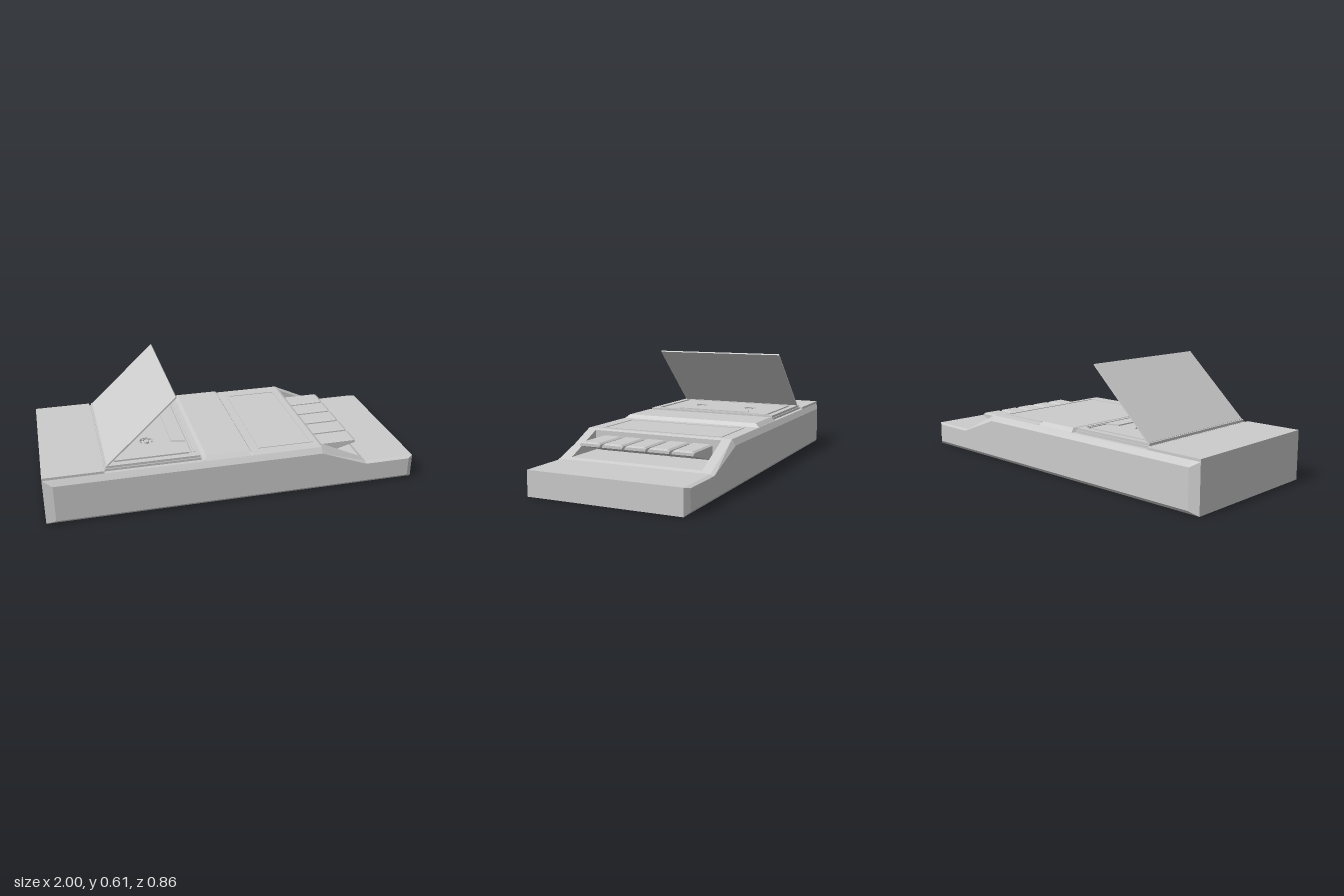
import * as THREE from 'three';

const material = new THREE.MeshStandardMaterial({ color: 0xcccccc, flatShading: true });

// Joins mirrored cross-sections [x, [[z, y], ...from bottom to top]] along x
function loft(sections) {
  const rings = sections.map(([x, half]) => [
    ...half.map(([z, y]) => new THREE.Vector3(x, y, z)),
    ...half.slice().reverse().map(([z, y]) => new THREE.Vector3(x, y, -z)),
  ]);
  const pos = [];
  const tri = (a, b, c) => {
    if (new THREE.Triangle(a, b, c).getArea() > 1e-8) {
      for (const p of [a, b, c]) pos.push(p.x, p.y, p.z);
    }
  };
  const n = rings[0].length;
  for (let i = 0; i < rings.length - 1; i++) {
    const p = rings[i], q = rings[i + 1];
    for (let j = 0; j < n; j++) {
      const k = (j + 1) % n;
      tri(p[j], q[j], q[k]);
      tri(p[j], q[k], p[k]);
    }
  }
  const first = rings[0], last = rings[rings.length - 1];
  for (let j = 1; j < n - 1; j++) {
    tri(first[0], first[j], first[j + 1]);
    tri(last[0], last[j + 1], last[j]);
  }
  const geo = new THREE.BufferGeometry();
  geo.setAttribute('position', new THREE.Float32BufferAttribute(pos, 3));
  geo.computeVertexNormals();
  return geo;
}

function rect(target, x0, x1, halfZ) {
  target.moveTo(x0, -halfZ);
  target.lineTo(x1, -halfZ);
  target.lineTo(x1, halfZ);
  target.lineTo(x0, halfZ);
  target.closePath();
  return target;
}

// Horizontal plate from an x/z outline
function plate(shape, y0, y1) {
  const geo = new THREE.ExtrudeGeometry(shape, { depth: y1 - y0, bevelEnabled: false, curveSegments: 16 });
  return geo.rotateX(-Math.PI / 2).translate(0, y0, 0);
}

export function createModel() {
  const group = new THREE.Group();
  const add = (name, geo, parent = group) => {
    const mesh = new THREE.Mesh(geo, material);
    mesh.name = name;
    parent.add(mesh);
    return mesh;
  };
  const box = (name, x0, x1, y0, y1, halfZ, parent) =>
    add(name, new THREE.BoxGeometry(x1 - x0, y1 - y0, 2 * halfZ)
      .translate((x0 + x1) / 2, (y0 + y1) / 2, 0), parent);

  // Body with chamfered edges, sloping keyboard end and a sunken key well
  const section = (x, top, shoulder, floor = top) =>
    [x, [[0.41, 0], [0.43, 0.02], [0.43, shoulder], [0.41, top], [0.36, top], [0.36, floor]]];
  const end = (x, top) =>
    [x, [[0.41, 0], [0.41, 0], [0.41, top], [0.41, top], [0.36, top], [0.36, top]]];
  add('body', loft([
    end(-1, 0.25),
    section(-0.95, 0.25, 0.22),
    section(0.46, 0.25, 0.22),
    section(0.475, 0.243, 0.2145),
    section(0.475, 0.243, 0.2145, 0.139),
    section(0.70, 0.139, 0.13, 0.139),
    section(0.72, 0.13, 0.123),
    section(0.97, 0.13, 0.123),
    end(1, 0.13),
  ]));

  // Raised areas of the top
  box('rearCover', -1, -0.692, 0.245, 0.263, 0.41);
  add('middleStrip', loft([
    [-0.18, [[0.41, 0.248], [0.41, 0.25]]],
    [-0.165, [[0.41, 0.248], [0.385, 0.27]]],
    [0.07, [[0.41, 0.248], [0.385, 0.27]]],
    [0.082, [[0.41, 0.248], [0.41, 0.25]]],
  ]));
  add('topPanelFrame', plate((() => {
    const s = rect(new THREE.Shape(), 0.13, 0.435, 0.345);
    s.holes.push(rect(new THREE.Path(), 0.145, 0.42, 0.33));
    return s;
  })(), 0.249, 0.253));

  // Five wedge-shaped keys
  const keys = new THREE.Group();
  keys.name = 'keys';
  group.add(keys);
  const keySection = (x, bottom, top) =>
    [x, [[0.057, bottom], [0.057, top - 0.007], [0.046, top]]];
  const keyGeo = loft([
    keySection(0.477, 0.14, 0.219),
    keySection(0.682, 0.197, 0.22),
    keySection(0.695, 0.2, 0.214),
  ]);
  for (let i = -2; i <= 2; i++) add('key', keyGeo, keys).position.z = i * 0.128;

  // Tape deck
  const deck = new THREE.Group();
  deck.name = 'tapeDeck';
  group.add(deck);
  box('deckBase', -0.688, -0.19, 0.245, 0.262, 0.39, deck);
  const frame = rect(new THREE.Shape(), -0.682, -0.195, 0.385);
  frame.holes.push(rect(new THREE.Path(), -0.65, -0.232, 0.352));
  add('deckFrame', plate(frame, 0.26, 0.275), deck);
  box('latch', -0.221, -0.209, 0.27, 0.278, 0.34, deck);

  // Cassette with two toothed hubs
  const cassette = rect(new THREE.Shape(), -0.635, -0.242, 0.335);
  for (const z of [-0.16, 0.16]) {
    cassette.holes.push(new THREE.Path().absarc(-0.44, z, 0.036, 0, Math.PI * 2, true));
    const hub = new THREE.Group();
    hub.name = 'hub';
    hub.position.set(-0.44, 0.267, z);
    deck.add(hub);
    add('spindle', new THREE.CylinderGeometry(0.014, 0.014, 0.012, 16), hub);
    for (let i = 0; i < 6; i++) {
      const tooth = new THREE.BoxGeometry(0.012, 0.008, 0.006).translate(0.031, 0, 0);
      add('hubTooth', tooth.rotateY(i * Math.PI / 3), hub);
    }
  }
  add('cassette', plate(cassette, 0.26, 0.274), deck);
  add('cassetteThickEdge', loft([
    [-0.315, [[0.2, 0.27], [0.2, 0.28]]],
    [-0.242, [[0.22, 0.27], [0.22, 0.28]]],
  ]), deck);

  // Open lid, hinged at the rear of the deck
  const dx = 0.36, dy = 0.337;
  const lid = add('lid', new THREE.BoxGeometry(Math.hypot(dx, dy), 0.008, 0.76));
  lid.position.set(-0.672 + dx / 2, 0.274 + dy / 2, 0);
  lid.rotation.z = Math.atan2(dy, dx);

  return group;
}
